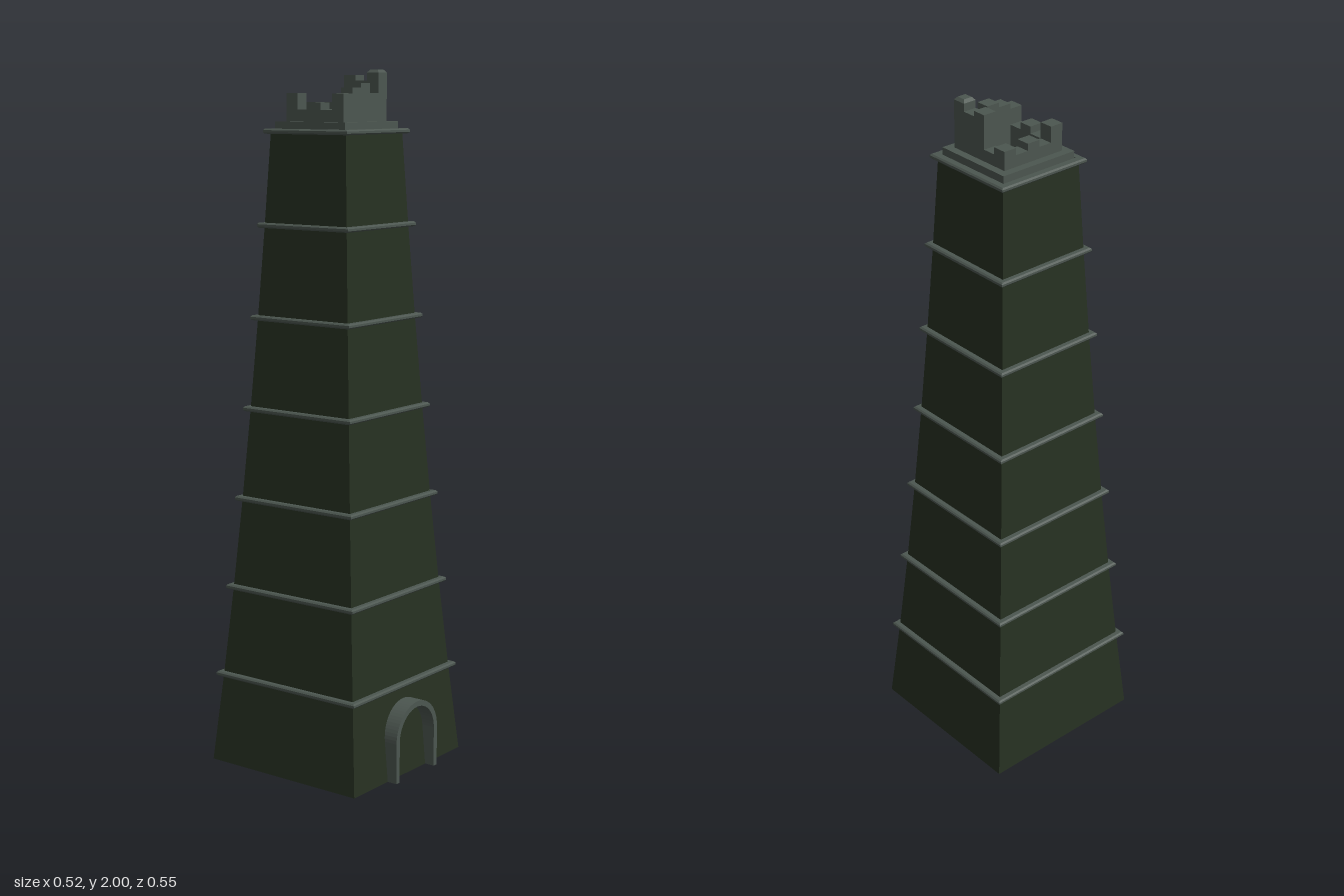
import * as THREE from 'three';

const CZ = -0.015; // tower axis, shifted back by the door arch
const STEP = 0.2615, LEVELS = 7, RATIO = 0.907;
const TOP = STEP * LEVELS;
const halfAt = (i) => 0.26 * RATIO ** i;

const green = new THREE.MeshStandardMaterial({ color: 0x263021, flatShading: true });
const stone = new THREE.MeshStandardMaterial({ color: 0x4c5650, flatShading: true });

// Square solid or ring turned from a [half width, y] profile
function squareLathe(profile, material, name) {
  const pts = profile.map(([h, y]) => new THREE.Vector2(h * Math.SQRT2, y));
  const geo = new THREE.LatheGeometry(pts, 4).rotateY(Math.PI / 4);
  const mesh = new THREE.Mesh(geo, material);
  mesh.name = name;
  return mesh;
}

export function createModel() {
  const model = new THREE.Group();
  model.name = 'tower';
  const tower = new THREE.Group();
  tower.name = 'shaftAndCrown';
  tower.position.z = CZ;
  model.add(tower);

  // Tapering shaft, slightly concave, closed at both ends
  const profile = [[0, 0]];
  for (let i = 0; i <= LEVELS; i++) profile.push([halfAt(i), i * STEP]);
  profile.push([0, TOP]);
  tower.add(squareLathe(profile, green, 'shaft'));

  // Bevelled string courses
  for (let i = 1; i <= LEVELS; i++) {
    const y = i * STEP, h = halfAt(i), o = h + 0.016, n = h - 0.006;
    tower.add(squareLathe(
      [[n, y - 0.007], [o - 0.004, y - 0.007], [o, y - 0.003], [o, y + 0.003], [o - 0.004, y + 0.007], [n, y + 0.007], [n, y - 0.007]],
      stone, 'stringCourse' + i));
  }

  // Open slab below the parapet
  const slabTop = 1.857;
  tower.add(squareLathe(
    [[0.06, TOP], [0.123, TOP], [0.123, slabTop], [0.06, slabTop], [0.06, TOP]], stone, 'parapetBase'));

  // Ruined parapet: block top heights, rows back to front, columns along x
  const heights = [
    [1.935, 1.89, 1.91, 1.89, 1.91],
    [1.89, 0, 0, 0, 1.89],
    [1.91, 0, 0, 0, 1.985],
    [1.89, 0, 0, 0, 1.97],
    [1.935, 1.95, 1.963, 1.935, 1.992],
  ];
  const parapet = new THREE.Group();
  parapet.name = 'parapet';
  tower.add(parapet);
  heights.forEach((row, r) => row.forEach((top, c) => {
    if (!top) return;
    const block = new THREE.Mesh(new THREE.BoxGeometry(0.04, top - slabTop, 0.04), stone);
    block.name = 'parapetBlock';
    block.position.set((c - 2) * 0.04, (top + slabTop) / 2, (r - 2) * 0.04);
    parapet.add(block);
  }));

  // Bevelled cap on the tallest corner block
  const cap = squareLathe([[0.02, 1.992], [0.013, 2], [0, 2]], stone, 'cornerCap');
  cap.position.set(0.08, 0, 0.08);
  parapet.add(cap);

  // Door arch standing out from the front wall
  const R = 0.101, r = 0.085, spring = 0.118;
  const arch = new THREE.Shape();
  arch.moveTo(-R, 0);
  arch.lineTo(-R, spring);
  arch.absarc(0, spring, R, Math.PI, 0, true);
  arch.lineTo(R, 0);
  arch.lineTo(r, 0);
  arch.lineTo(r, spring);
  arch.absarc(0, spring, r, 0, Math.PI, false);
  arch.lineTo(-r, 0);
  const archGeo = new THREE.ExtrudeGeometry(arch, { depth: 0.055, bevelEnabled: false, curveSegments: 16 });
  const doorArch = new THREE.Mesh(archGeo, stone);
  doorArch.name = 'doorArch';
  doorArch.position.z = 0.22;
  model.add(doorArch);

  return model;
}
